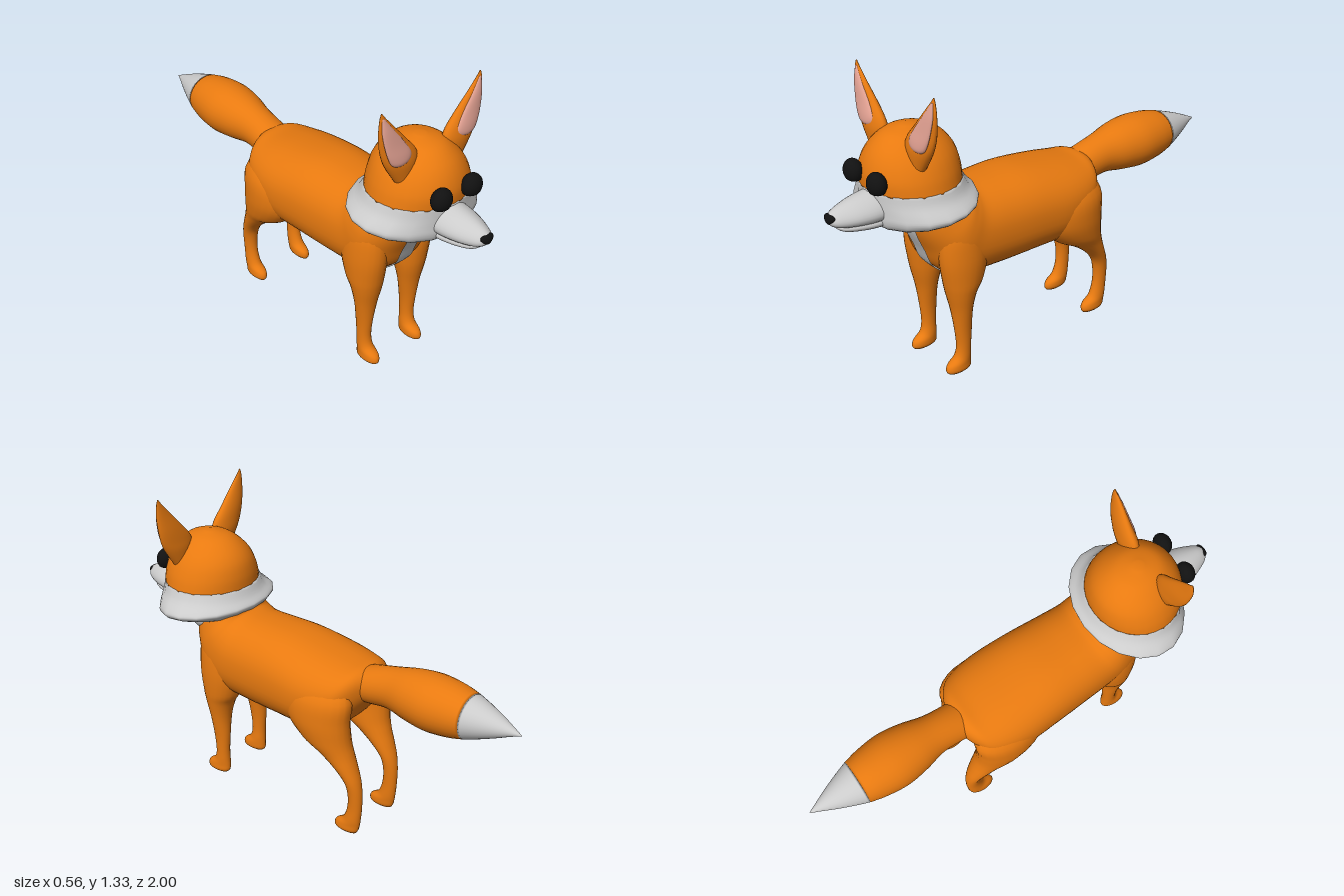
import * as THREE from 'three';

const mat = (color) => new THREE.MeshStandardMaterial({ color, side: THREE.DoubleSide });
const ORANGE = mat(0xe87a10), GREY = mat(0xcccccc), BLACK = mat(0x111111), PINK = mat(0xe5a394);

// A section is [frontOrTopZ, frontOrTopY, backOrBottomZ, backOrBottomY, xCentre, halfWidth]
const level = ([y, zFront, zBack, x0, x1, tilt = 0], side = 1) => [
  zFront, y + tilt * (zFront - 0.6), zBack, y + tilt * (zBack - 0.6), side * (x0 + x1) / 2, (x1 - x0) / 2];
const slice = ([z, top, bottom, half]) => [z, top, z, bottom, 0, half];

// Smooth interpolation through every column of the sections
function smooth(sections, steps) {
  const rows = [], last = sections.length - 1;
  for (let i = 0; i < last; i++) {
    const p = [i - 1, i, i + 1, i + 2].map((k) => sections[Math.min(last, Math.max(0, k))]);
    for (let s = 0; s < steps; s++) {
      const t = s / steps;
      rows.push(p[1].map((b, c) => {
        const a = p[0][c], d = p[2][c], e = p[3][c];
        return b + 0.5 * t * (d - a + t * (2 * a - 5 * b + 4 * d - e + t * (3 * (b - d) + e - a)));
      }));
    }
  }
  rows.push(sections[last]);
  return rows;
}

// Point on a superellipse section at angle t (0 = front or top)
function ringPoint([az, ay, bz, by, xc, hw], t, n, pinch) {
  const pow = (v) => Math.sign(v) * Math.abs(v) ** (2 / n);
  const c = pow(Math.cos(t)) / 2;
  return [xc + hw * pow(Math.sin(t)) * (1 - pinch * Math.cos(t)),
    (ay + by) / 2 + (ay - by) * c, (az + bz) / 2 + (az - bz) * c];
}

// Closed loft with capped ends, wound outward
function loft(sections, { seg = 32, n = 2, pinch = 0, steps = 5 } = {}) {
  const rows = smooth(sections, steps), pos = [], index = [];
  for (const r of rows) {
    for (let j = 0; j < seg; j++) pos.push(...ringPoint(r, j / seg * Math.PI * 2, n, pinch));
  }
  for (let i = 0; i < rows.length - 1; i++) {
    for (let j = 0; j < seg; j++) {
      const a = i * seg + j, b = i * seg + (j + 1) % seg;
      index.push(a, b, a + seg, b, b + seg, a + seg);
    }
  }
  [0, rows.length - 1].forEach((i, end) => {
    const r = rows[i], centre = pos.length / 3;
    pos.push(r[4], (r[1] + r[3]) / 2, (r[0] + r[2]) / 2);
    for (let j = 0; j < seg; j++) {
      const a = i * seg + j, b = i * seg + (j + 1) % seg;
      index.push(...(end ? [centre, a, b] : [centre, b, a]));
    }
  });
  let volume = 0;
  const v = (k) => new THREE.Vector3().fromArray(pos, k * 3);
  for (let k = 0; k < index.length; k += 3) {
    volume += v(index[k]).dot(v(index[k + 1]).cross(v(index[k + 2])));
  }
  if (volume < 0) index.reverse();
  return finish(pos, index);
}

function finish(pos, index) {
  const g = new THREE.BufferGeometry();
  g.setAttribute('position', new THREE.Float32BufferAttribute(pos, 3));
  g.setIndex(index);
  g.computeVertexNormals();
  return g;
}

// Strip along the underside of a loft, lifted slightly off it
function underStrip(sections, half, n) {
  const rows = smooth(sections, 5), pos = [], index = [], w = 8;
  for (const r of rows) {
    const reach = Math.asin(Math.min(1, half / r[5]) ** (n / 2));
    for (let j = 0; j <= w; j++) {
      const p = ringPoint(r, Math.PI + reach * (j / w * 2 - 1), n, 0);
      const dz = r[2] - r[0], dy = r[3] - r[1], len = Math.hypot(dz, dy);
      pos.push(p[0], p[1] + 0.005 * dy / len, p[2] + 0.005 * dz / len);
    }
  }
  for (let i = 0; i < rows.length - 1; i++) {
    for (let j = 0; j < w; j++) {
      const a = i * (w + 1) + j, b = a + w + 1;
      index.push(a, b, a + 1, a + 1, b, b + 1);
    }
  }
  return finish(pos, index);
}

// Rump to neck: top z, top y, bottom z, bottom y, x, half width
const BODY = [
  [-0.3, 0.73, -0.29, 0.61, 0, 0.07], [-0.26, 0.752, -0.245, 0.54, 0, 0.15],
  [-0.2, 0.757, -0.18, 0.47, 0, 0.2], [-0.08, 0.777, -0.05, 0.425, 0, 0.225],
  [0.1, 0.802, 0.1, 0.417, 0, 0.22], [0.25, 0.805, 0.3, 0.417, 0, 0.208],
  [0.33, 0.806, 0.46, 0.43, 0, 0.2], [0.36, 0.81, 0.545, 0.49, 0, 0.197],
  [0.375, 0.815, 0.585, 0.58, 0, 0.187], [0.38, 0.83, 0.62, 0.66, 0, 0.165],
  [0.39, 0.86, 0.64, 0.74, 0, 0.14]];
// Level rings: y, front z, back z, inner x, outer x
const FRONT_LEG = [
  [0, 0.545, 0.45, 0.105, 0.142], [0.015, 0.557, 0.436, 0.091, 0.155], [0.04, 0.55, 0.434, 0.089, 0.155],
  [0.07, 0.513, 0.435, 0.092, 0.153], [0.12, 0.501, 0.435, 0.095, 0.153], [0.2, 0.507, 0.43, 0.09, 0.158],
  [0.3, 0.52, 0.425, 0.073, 0.172], [0.38, 0.538, 0.405, 0.056, 0.187], [0.44, 0.55, 0.37, 0.046, 0.197],
  [0.55, 0.565, 0.34, 0.04, 0.202], [0.67, 0.56, 0.35, 0.04, 0.188], [0.73, 0.52, 0.4, 0.06, 0.14]];
const HIND_LEG = [
  [0, -0.21, -0.31, 0.108, 0.145], [0.015, -0.2, -0.32, 0.096, 0.157], [0.04, -0.207, -0.326, 0.094, 0.157],
  [0.07, -0.247, -0.33, 0.096, 0.155], [0.13, -0.268, -0.335, 0.098, 0.153], [0.2, -0.27, -0.335, 0.095, 0.158],
  [0.26, -0.255, -0.325, 0.088, 0.168], [0.32, -0.205, -0.305, 0.076, 0.183], [0.38, -0.125, -0.285, 0.063, 0.2],
  [0.44, -0.025, -0.272, 0.05, 0.222], [0.53, 0.05, -0.268, 0.045, 0.236], [0.63, 0.06, -0.272, 0.04, 0.224],
  [0.72, 0, -0.22, 0.05, 0.16]];
const EAR = [
  [0.99, 0.69, 0.64, 0.1, 0.165], [1.07, 0.7, 0.63, 0.07, 0.217], [1.12, 0.697, 0.632, 0.078, 0.242],
  [1.18, 0.688, 0.638, 0.127, 0.257], [1.25, 0.68, 0.65, 0.188, 0.265], [1.3, 0.671, 0.658, 0.231, 0.262],
  [1.325, 0.666, 0.662, 0.25, 0.255]];
const INNER_EAR = [
  [1.083, 0.69, 0.67, 0.165, 0.185], [1.1, 0.703, 0.67, 0.128, 0.212], [1.13, 0.703, 0.67, 0.12, 0.23],
  [1.18, 0.695, 0.67, 0.15, 0.246], [1.25, 0.685, 0.665, 0.203, 0.257], [1.305, 0.672, 0.664, 0.243, 0.254]];
const CROWN = [
  [0.905, 0.812, 0.413, -0.216, 0.216], [0.96, 0.812, 0.415, -0.202, 0.202], [1.02, 0.793, 0.43, -0.174, 0.174],
  [1.07, 0.76, 0.465, -0.134, 0.134], [1.11, 0.71, 0.52, -0.083, 0.083], [1.13, 0.635, 0.595, -0.02, 0.02]];
const RUFF = [
  [0.745, 0.7, 0.47, -0.12, 0.12, -0.1], [0.767, 0.775, 0.4, -0.2, 0.2, -0.12],
  [0.793, 0.805, 0.372, -0.264, 0.264, -0.12], [0.815, 0.813, 0.365, -0.286, 0.286, -0.08],
  [0.836, 0.813, 0.367, -0.275, 0.275, -0.04], [0.87, 0.814, 0.39, -0.238, 0.238], [0.91, 0.814, 0.412, -0.217, 0.217]];
const THROAT = [
  [0.68, 0.625, 0.56, -0.05, 0.05], [0.7, 0.648, 0.5, -0.11, 0.11],
  [0.74, 0.675, 0.45, -0.15, 0.15], [0.78, 0.68, 0.45, -0.16, 0.16]];
// Upright slices: z, top, bottom, half width
const TAIL = [
  [-0.2, 0.73, 0.6, 0.09], [-0.3, 0.762, 0.595, 0.085], [-0.4, 0.787, 0.605, 0.088],
  [-0.5, 0.81, 0.59, 0.112], [-0.6, 0.819, 0.58, 0.125], [-0.7, 0.81, 0.588, 0.115], [-0.77, 0.793, 0.604, 0.099]];
const TAIL_TIP = [[-0.77, 0.793, 0.604, 0.099], [-0.83, 0.773, 0.626, 0.077], [-0.9, 0.746, 0.655, 0.048],
  [-0.96, 0.719, 0.682, 0.02], [-1, 0.7, 0.696, 0.002]];
const MUZZLE = [[0.74, 0.91, 0.78, 0.09], [0.82, 0.903, 0.782, 0.088], [0.89, 0.892, 0.788, 0.075],
  [0.95, 0.876, 0.797, 0.052], [0.98, 0.862, 0.81, 0.034], [0.992, 0.85, 0.825, 0.014]];
const JAW = [[0.74, 0.83, 0.755, 0.085], [0.82, 0.82, 0.757, 0.077], [0.89, 0.815, 0.765, 0.06],
  [0.935, 0.81, 0.775, 0.04], [0.955, 0.803, 0.787, 0.016]];

export function createModel() {
  const model = new THREE.Group();
  const add = (name, geometry, material, parent = model) => {
    const mesh = new THREE.Mesh(geometry, material);
    mesh.name = name;
    parent.add(mesh);
    return mesh;
  };

  add('body', loft(BODY, { seg: 48, n: 2.3 }), ORANGE);
  add('chestAndBellyStripe', underStrip(BODY.slice(2), 0.042, 2.3), GREY);
  add('throat', loft(THROAT.map((s) => level(s))), GREY);
  add('tail', loft(TAIL.map(slice)), ORANGE);
  add('tailTip', loft(TAIL_TIP.map(slice)), GREY);

  const head = new THREE.Group();
  head.name = 'head';
  model.add(head);
  add('crown', loft(CROWN.map((s) => level(s))), ORANGE, head);
  add('cheekRuff', loft(RUFF.map((s) => level(s)), { seg: 18, steps: 3 }), GREY, head);
  add('muzzle', loft(MUZZLE.map(slice), { pinch: 0.25 }), GREY, head);
  add('lowerJaw', loft(JAW.map(slice)), GREY, head);

  // Nose narrows towards its lower edge
  const nose = new THREE.SphereGeometry(1, 20, 14);
  const np = nose.attributes.position;
  for (let i = 0; i < np.count; i++) np.setX(i, np.getX(i) * (1 + 0.45 * np.getY(i)));
  nose.scale(0.029, 0.022, 0.019).translate(0, 0.838, 0.981);
  nose.computeVertexNormals();
  add('nose', nose, BLACK, head);

  for (const [side, label] of [[1, 'left'], [-1, 'right']]) {
    const rings = (list) => list.map((s) => level(s, side));
    add(label + 'FrontLeg', loft(rings(FRONT_LEG), { seg: 24 }), ORANGE);
    add(label + 'HindLeg', loft(rings(HIND_LEG), { seg: 24 }), ORANGE);
    add(label + 'Ear', loft(rings(EAR), { seg: 24 }), ORANGE, head);
    add(label + 'InnerEar', loft(rings(INNER_EAR), { seg: 24 }), PINK, head);

    // Domed eye with a flattened lower edge
    const eye = new THREE.SphereGeometry(1, 24, 18);
    const ep = eye.attributes.position;
    for (let i = 0; i < ep.count; i++) ep.setY(i, Math.max(ep.getY(i), -0.6 + 0.15 * ep.getY(i)));
    eye.scale(0.047, 0.049, 0.037).translate(side * 0.08, 0.962, 0.818);
    eye.computeVertexNormals();
    add(label + 'Eye', eye, BLACK, head);
  }
  return model;
}
